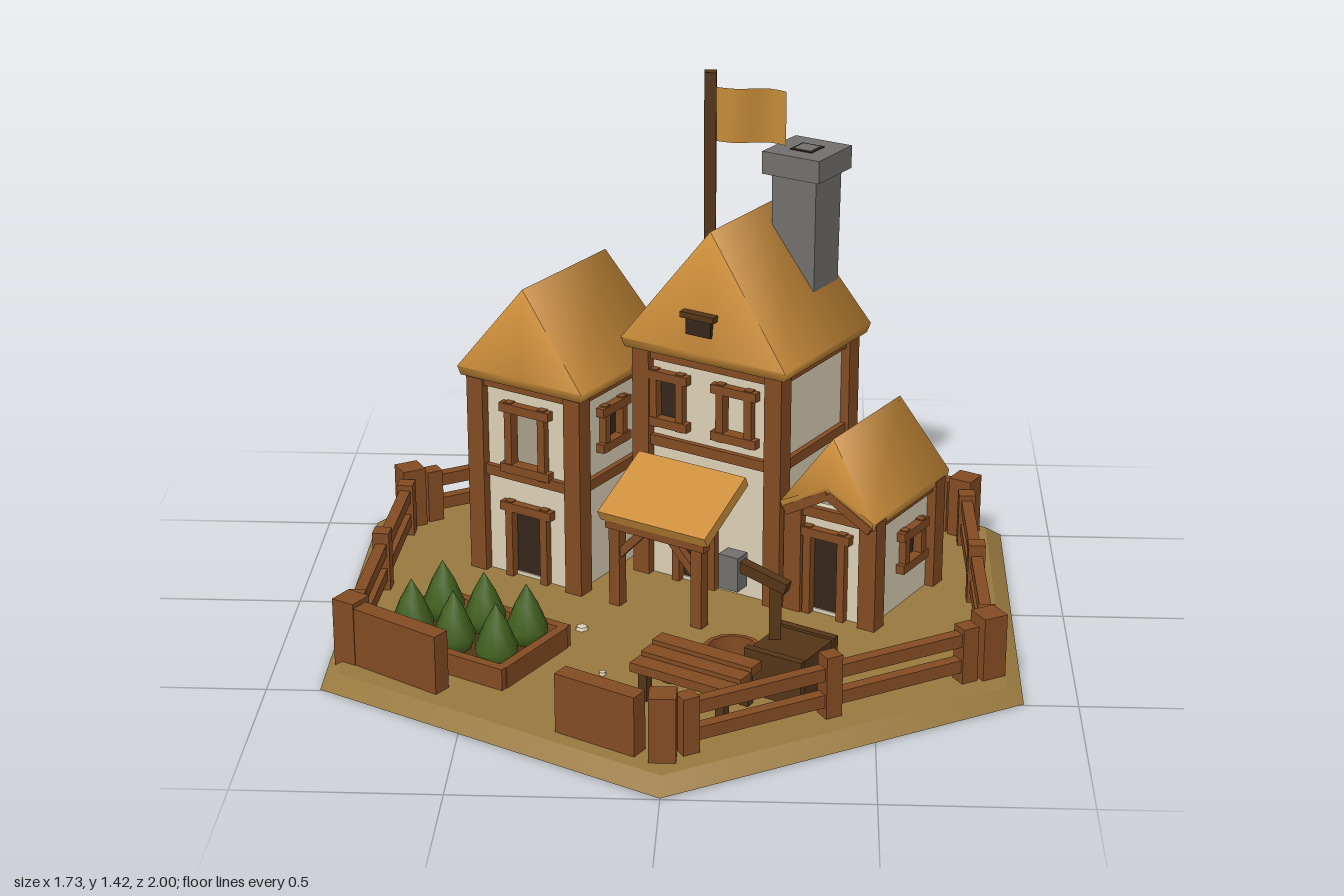
import * as THREE from 'three';
import { toCreasedNormals } from 'three/addons/utils/BufferGeometryUtils.js';

const mat = (name, color) => {
  const m = new THREE.MeshStandardMaterial({ color });
  m.name = name;
  return m;
};
const M = {
  ground: mat('dryGround', 0x98793f), roof: mat('thatch', 0xcb8d3a), wall: mat('plaster', 0xdccfb4),
  wood: mat('wood', 0x824b22), darkWood: mat('darkWood', 0x543517), stone: mat('stone', 0x72706e),
  dark: mat('darkOpening', 0x35261a), leaf: mat('leaf', 0x42611f), flag: mat('flagCloth', 0xc48a36),
};
M.stone.flatShading = true;
M.flag.side = THREE.DoubleSide;
const TURN = -Math.PI / 6; // the village is laid out 30 degrees off the axes
const TOP = 0.035; // ground level; walls and posts are sunk through it to y = 0

function add(parent, name, geo, material, x = 0, y = 0, z = 0) {
  const m = new THREE.Mesh(geo, material);
  m.name = name;
  m.position.set(x, y, z);
  parent.add(m);
  return m;
}
const box = (parent, name, material, w, h, d, x, y, z) =>
  add(parent, name, new THREE.BoxGeometry(w, h, d), material, x, y, z);
// box standing on y = 0
const post = (parent, name, material, w, h, d, x, z) => box(parent, name, material, w, h, d, x, h / 2, z);

// rectangular bar running from p to q
function beam(parent, name, material, p, q, w, h = w) {
  const a = new THREE.Vector3(...p), b = new THREE.Vector3(...q);
  const m = box(parent, name, material, w, h, a.distanceTo(b), 0, 0, 0);
  m.position.copy(a).add(b).multiplyScalar(0.5);
  m.quaternion.setFromRotationMatrix(new THREE.Matrix4().lookAt(b, a, m.up));
}

function turned(parent, name, x, z, angle = TURN) {
  const g = new THREE.Group();
  g.name = name;
  g.position.set(x, 0, z);
  g.rotation.y = angle;
  parent.add(g);
  return g;
}

// thatched roof: half width a, half depth b, half ridge r, eave y0, ridge y1,
// notch raises the middle of each gable edge
function roof(parent, a, b, r, y0, y1, notch = 0, t = 0.025) {
  const rim = [[-a, y0, b], [0, y0 + notch, b], [a, y0, b], [a, y0, -b], [0, y0 + notch, -b], [-a, y0, -b]];
  const [A, N, B, C, K, D] = rim, low = rim.map(([x, y, z]) => [x * 0.97, y - t, z * 0.97]);
  const F = [0, y1, r], G = [0, y1, -r], v = [];
  const tri = (...p) => p.forEach((q) => v.push(...q));
  const quad = (p, q, s, u) => { tri(p, q, s); tri(p, s, u); };
  quad(B, C, G, F); quad(D, A, F, G);
  tri(A, N, F); tri(N, B, F); tri(C, K, G); tri(K, D, G);
  rim.forEach((p, i) => { const j = (i + 1) % 6; quad(low[i], low[j], rim[j], p); });
  quad(low[5], low[4], low[1], low[0]);
  quad(low[1], low[4], low[3], low[2]);
  const geo = new THREE.BufferGeometry();
  geo.setAttribute('position', new THREE.Float32BufferAttribute(v, 3));
  add(parent, 'roof', toCreasedNormals(geo, 1.55), M.roof);
  if (notch) for (const s of [-1, 1]) for (const e of [-1, 1]) // gable trim
    beam(parent, 'gableTrim', M.wood, [s * a * 0.92, y0 - t, e * b * 0.93], [0, y0 + notch - t, e * b * 0.93], 0.025);
}

// hollow timber-framed house; each opening is [side, along, y, width, height, kind],
// sides counted from the front: 0 front, 1 left, 2 back, 3 right
function walls(parent, a, b, y1, belts, openings) {
  for (let k = 0; k < 4; k++) {
    const half = k % 2 ? b : a, dist = k % 2 ? a : b;
    const g = turned(parent, 'wallSide', 0, 0, k * Math.PI / 2);
    const rect = (P, x, y, w, h) => new P([[-1, -1], [1, -1], [1, 1], [-1, 1]]
      .map(([i, j]) => new THREE.Vector2(x + i * w / 2, y + j * h / 2)));
    const shape = rect(THREE.Shape, 0, y1 / 2, 2 * half, y1);
    for (const [side, x, y, w, h, kind] of openings) {
      if (side !== k) continue;
      shape.holes.push(rect(THREE.Path, x, y, w, h));
      if (kind !== 'open') add(g, 'pane', new THREE.PlaneGeometry(w, h), M.dark, x, y, dist - 0.004);
      for (const s of [-1, 1]) {
        box(g, 'jamb', M.wood, 0.022, h + 0.03, 0.03, x + s * w / 2, y, dist + 0.005);
        if (s > 0 || kind !== 'door') box(g, 'lintel', M.wood, w + 0.05, 0.024, 0.036, x, y + s * h / 2, dist + 0.005);
      }
    }
    add(g, 'wall', new THREE.ExtrudeGeometry(shape, { depth: 0.02, bevelEnabled: false }), M.wall, 0, 0, dist - 0.02);
    for (const y of belts) box(g, 'crossBeam', M.wood, 2 * half, 0.028, 0.03, 0, y, dist);
    post(g, 'cornerPost', M.wood, 0.05, y1, 0.05, half, dist);
  }
}

export function createModel() {
  const root = new THREE.Group();
  root.name = 'village';
  add(root, 'ground', new THREE.CylinderGeometry(0.95, 1, TOP - 0.003, 6), M.ground, 0, TOP / 2 + 0.0015, 0);

  // main house
  const main = turned(root, 'mainHouse', 0.165, -0.22);
  walls(main, 0.2, 0.175, 0.68, [0.42, 0.66], [
    [0, -0.125, 0.54, 0.08, 0.13, 'window'], [0, 0.08, 0.54, 0.085, 0.13, 'open'], [0, -0.04, 0.145, 0.11, 0.2, 'door'],
    [2, 0.11, 0.54, 0.085, 0.13, 'window'], [3, 0.06, 0.54, 0.075, 0.13, 'window'],
  ]);
  roof(main, 0.247, 0.22, 0.18, 0.7, 1.02);
  box(main, 'atticWindow', M.dark, 0.075, 0.05, 0.03, -0.01, 0.775, 0.207);
  box(main, 'atticLintel', M.darkWood, 0.1, 0.016, 0.045, -0.01, 0.803, 0.207);

  // tall house
  const tall = turned(root, 'tallHouse', -0.31, -0.25);
  walls(tall, 0.153, 0.175, 0.59, [0.325, 0.575], [
    [0, 0, 0.43, 0.105, 0.17, 'open'], [0, 0, 0.14, 0.11, 0.19, 'door'], [1, -0.02, 0.46, 0.08, 0.1, 'window'],
  ]);
  roof(tall, 0.195, 0.215, 0.19, 0.61, 0.85);

  // low wing beside the main house
  const wing = turned(root, 'sideWing', 0.48, -0.04);
  walls(wing, 0.11, 0.16, 0.335, [0.32], [
    [0, -0.02, 0.155, 0.1, 0.22, 'door'], [1, 0.04, 0.19, 0.085, 0.09, 'window'],
  ]);
  roof(wing, 0.135, 0.205, 0.175, 0.345, 0.535, 0.07);

  // small wing behind
  const back = turned(root, 'backWing', -0.11, -0.48);
  walls(back, 0.105, 0.11, 0.335, [0.32], [[3, 0.01, 0.18, 0.08, 0.09, 'window']]);
  roof(back, 0.14, 0.14, 0.11, 0.345, 0.53, 0.07);

  // porch with a lean-to roof
  const porch = turned(root, 'porch', -0.015, 0.045);
  box(porch, 'porchRoof', M.roof, 0.325, 0.03, 0.22, 0, 0.335, 0).rotation.x = 0.47;
  for (const s of [-1, 1]) {
    post(porch, 'porchPost', M.wood, 0.032, 0.265, 0.032, s * 0.125, 0.07);
    beam(porch, 'porchBrace', M.wood, [s * 0.125, 0.17, 0.07], [s * 0.045, 0.255, 0.07], 0.022);
    beam(porch, 'porchRafter', M.wood, [s * 0.125, 0.36, -0.09], [s * 0.125, 0.27, 0.09], 0.025);
  }
  box(porch, 'porchBeam', M.wood, 0.3, 0.026, 0.028, 0, 0.264, 0.075);

  // chimney
  const chimney = turned(root, 'chimney', 0.315, -0.285);
  add(chimney, 'shaft', new THREE.CylinderGeometry(0.092, 0.086, 0.44, 4), M.stone, 0, 0.9, 0).rotation.y = Math.PI / 4;
  box(chimney, 'cap', M.stone, 0.168, 0.06, 0.168, 0, 1.145, 0);
  box(chimney, 'flue', M.dark, 0.065, 0.006, 0.065, 0, 1.174, 0);
  box(chimney, 'flueCore', M.stone, 0.05, 0.006, 0.05, 0, 1.175, 0);

  // flag
  box(root, 'flagPole', M.darkWood, 0.03, 0.44, 0.03, 0.072, 1.2, -0.125);
  const cloth = new THREE.PlaneGeometry(0.175, 0.14, 10, 1), cp = cloth.attributes.position;
  for (let i = 0; i < cp.count; i++) {
    const t = cp.getX(i) / 0.175 + 0.5;
    cp.setZ(i, 0.014 * Math.sin(t * 6));
    cp.setY(i, cp.getY(i) - 0.012 * t * t);
  }
  cloth.computeVertexNormals();
  add(root, 'flag', cloth, M.flag, 0.174, 1.31, -0.125);

  // fence with heavy corner posts, two rails a side
  const corners = [[0, 0.86], [0.78, 0.4], [0.76, -0.44], [0, -0.88], [-0.76, -0.44], [-0.8, 0.385]];
  corners.forEach(([x, z], i) => {
    const angle = [0, -TURN, TURN][i % 3];
    post(turned(root, 'fenceCorner', x, z, angle), 'cornerPost', M.wood, 0.065, 0.202, 0.065, 0, 0);
    if (i === 5) return;
    const [x2, z2] = corners[i + 1], len = Math.hypot(x2 - x, z2 - z);
    const side = turned(root, 'fenceSide', (x + x2) / 2, (z + z2) / 2, Math.atan2(z - z2, x2 - x));
    for (const s of [-1, 0, 1])
      post(side, 'fencePost', M.wood, 0.044, s ? 0.182 : 0.197, 0.044, s * (len / 2 - 0.065), 0);
    for (const y of [0.08, 0.15]) box(side, 'rail', M.wood, len - 0.1, 0.034, 0.03, 0, y, 0);
  });
  // solid boards either side of the gate
  for (const [a, b] of [[[-0.8, 0.39], [-0.555, 0.555]], [[-0.25, 0.73], [-0.055, 0.845]]])
    beam(root, 'gateBoard', M.wood, [a[0], 0.095, a[1]], [b[0], 0.095, b[1]], 0.048, 0.19);

  // garden bed with six bushes
  const bed = turned(root, 'gardenBed', -0.513, 0.318);
  box(bed, 'soil', M.darkWood, 0.39, 0.03, 0.27, 0, 0.05, 0);
  for (const s of [-1, 1]) {
    post(bed, 'longEdge', M.wood, 0.41, 0.092, 0.025, 0, s * 0.135);
    post(bed, 'shortEdge', M.wood, 0.025, 0.092, 0.26, s * 0.195, 0);
  }
  const bush = new THREE.LatheGeometry([[0, 0], [0.04, 0], [0.056, 0.04], [0.03, 0.105], [0, 0.16]]
    .map((p) => new THREE.Vector2(...p)), 10);
  for (const x of [-0.13, 0, 0.13]) for (const z of [-0.065, 0.065]) add(bed, 'bush', bush, M.leaf, x, 0.06, z);

  // plank table
  const table = turned(root, 'plankTable', 0.065, 0.58);
  for (const z of [-0.05, 0, 0.05]) box(table, 'plank', M.wood, 0.285, 0.024, 0.047, 0, 0.13 - z * 0.2, z);
  for (const x of [-0.11, 0.11]) for (const z of [-0.055, 0.055])
    post(table, 'tableLeg', M.darkWood, 0.025, 0.125, 0.025, x, z);

  // open tub
  const tub = new THREE.LatheGeometry([[0.06, 0], [0.074, 0], [0.074, 0.11], [0.062, 0.11], [0.06, 0]]
    .map((p) => new THREE.Vector2(...p)), 14);
  add(root, 'tub', toCreasedNormals(tub, 0.6), M.wood, 0.15, 0, 0.435);

  // crate and hammer arm
  const crate = turned(root, 'crate', 0.295, 0.487);
  for (const s of [-1, 1]) {
    post(crate, 'crateSide', M.darkWood, 0.16, 0.155, 0.02, 0, s * 0.08);
    post(crate, 'crateEnd', M.darkWood, 0.02, 0.147, 0.14, s * 0.065, 0);
  }
  box(crate, 'crateLid', M.darkWood, 0.15, 0.02, 0.14, 0, 0.138, 0);
  post(root, 'hammerPost', M.darkWood, 0.03, 0.305, 0.03, 0.255, 0.45);
  beam(root, 'hammerArm', M.darkWood, [0.15, 0.345, 0.435], [0.285, 0.305, 0.5], 0.028);
  box(turned(root, 'hammer', 0.15, 0.435), 'hammerHead', M.stone, 0.055, 0.09, 0.045, 0, 0.32, 0);

  // scattered pebbles
  for (const [x, z, r] of [[-0.24, 0.2, 0.018], [0.11, -0.53, 0.018], [0.54, -0.47, 0.01], [-0.17, 0.45, 0.01]])
    add(root, 'pebble', new THREE.CylinderGeometry(r * 0.8, r, 0.008, 6), M.wall, x, TOP + 0.004, z);
  return root;
}
